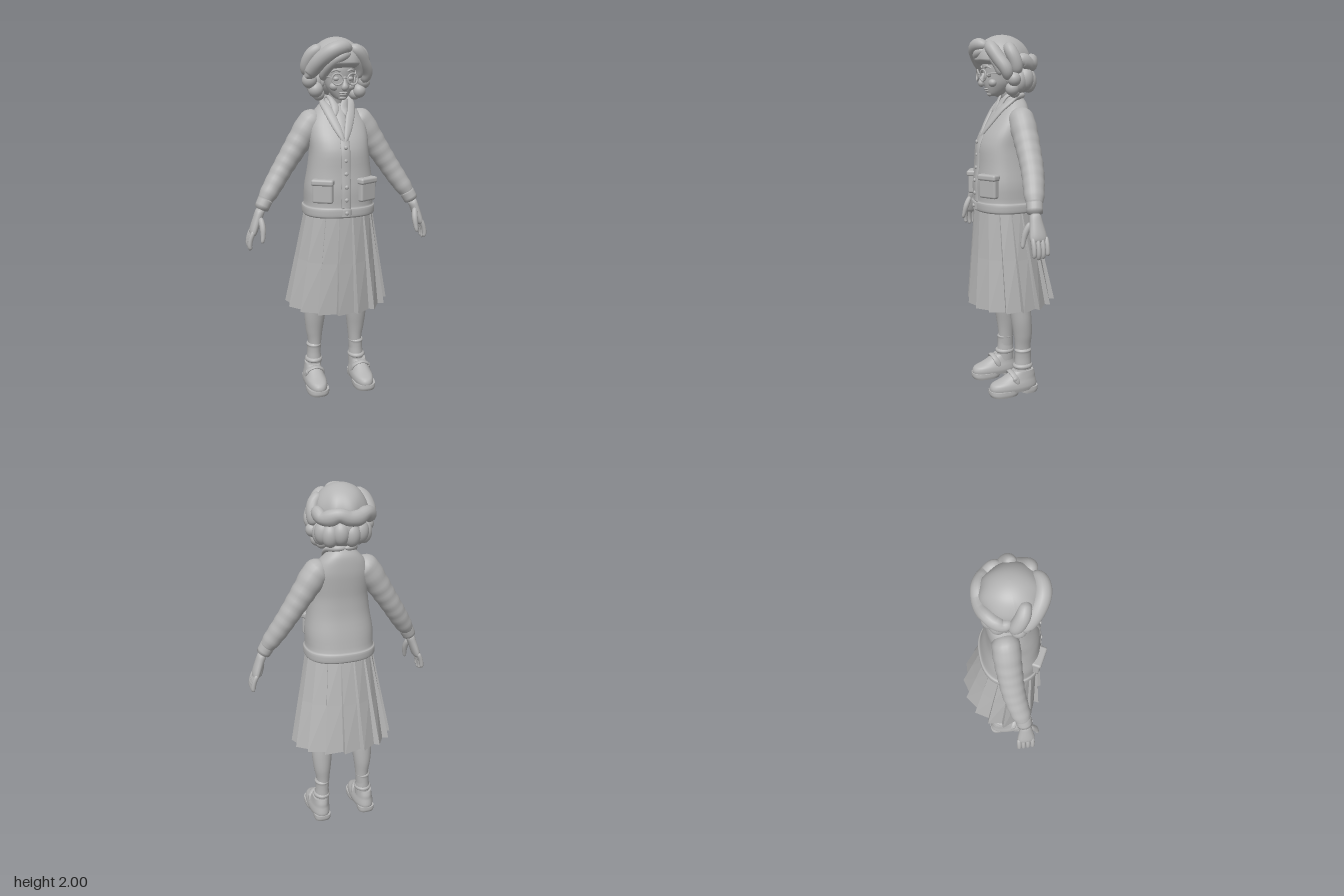
import * as THREE from 'three';
import { RoundedBoxGeometry } from 'three/addons/geometries/RoundedBoxGeometry.js';

const clay = new THREE.MeshStandardMaterial({ color: 0xb4b4b4 });
clay.name = 'clay grey';

// Skin a list of rings (arrays of Vector3) and close both ends
function loft(rings, flat = false) {
  const n = rings[0].length, pos = [], idx = [];
  const put = p => pos.push(p.x, p.y, p.z) / 3 - 1;
  rings.forEach(r => r.forEach(put));
  for (let i = 0; i < rings.length - 1; i++) for (let j = 0; j < n; j++) {
    const a = i * n + j, b = i * n + (j + 1) % n;
    idx.push(a, b, b + n, a, b + n, a + n);
  }
  [rings[0], rings[rings.length - 1]].forEach((r, end) => {
    const c = put(r.reduce((s, p) => s.add(p), new THREE.Vector3()).divideScalar(n));
    const first = r.map(put)[0];
    for (let j = 0; j < n; j++) {
      const a = first + j, b = first + (j + 1) % n;
      end ? idx.push(c, a, b) : idx.push(c, b, a);
    }
  });
  let g = new THREE.BufferGeometry();
  g.setAttribute('position', new THREE.Float32BufferAttribute(pos, 3));
  g.setIndex(idx);
  if (flat) g = g.toNonIndexed();
  g.computeVertexNormals();
  return g;
}

const pw = (v, p) => Math.sign(v) * Math.abs(v) ** (2 / p);

// Horizontal cross-sections: [y, half width, centre z, half depth]
function stack(rows, { x = 0, p = 2, n = 32, steps = 3 } = {}) {
  const a = new THREE.CatmullRomCurve3(rows.map(r => new THREE.Vector3(r[1], r[0], r[2])), false, 'catmullrom', 0.4);
  const b = new THREE.CatmullRomCurve3(rows.map(r => new THREE.Vector3(r[3], 0, 0)), false, 'catmullrom', 0.4);
  const m = (rows.length - 1) * steps;
  return loft(Array.from({ length: m + 1 }, (_, i) => {
    const c = a.getPoint(i / m), d = b.getPoint(i / m).x;
    return Array.from({ length: n }, (_, j) => {
      const t = j / n * Math.PI * 2;
      return new THREE.Vector3(x + pw(Math.sin(t), p) * c.x, c.y, c.z + pw(Math.cos(t), p) * d);
    });
  }));
}

// Tube through stations [x, y, z, radius across, radius along ref]
function limb(pts, { s = 1, round = true, ref = [0, 0, 1], n = 14, steps = 6, wrinkle = 0 } = {}) {
  const path = new THREE.CatmullRomCurve3(pts.map(p => new THREE.Vector3(p[0] * s, p[1], p[2])), false, 'catmullrom', 0.5);
  const size = new THREE.CatmullRomCurve3(pts.map(p => new THREE.Vector3(p[3], p[4] ?? p[3], 0)), false, 'catmullrom', 0.5);
  const m = (pts.length - 1) * steps;
  return loft(Array.from({ length: m + 1 }, (_, i) => {
    const k = i / m, c = path.getPoint(k), t = path.getTangent(k), r = size.getPoint(k);
    const v = new THREE.Vector3(...ref).addScaledVector(t, -t.dot(new THREE.Vector3(...ref))).normalize();
    const u = t.clone().cross(v);
    const f = (round ? Math.sqrt(Math.max(0.02, 1 - Math.abs(2 * k - 1) ** 8)) : 1) * (1 + wrinkle * Math.sin(k * 62));
    return Array.from({ length: n }, (_, j) => {
      const a = j / n * Math.PI * 2;
      return c.clone().addScaledVector(u, Math.sin(a) * r.x * f).addScaledVector(v, Math.cos(a) * r.y * f);
    });
  }));
}

export function createModel() {
  const model = new THREE.Group();
  const add = (name, geo, x = 0, y = 0, z = 0) => {
    const m = new THREE.Mesh(geo, clay);
    m.name = name;
    m.position.set(x, y, z);
    model.add(m);
    return m;
  };
  const blob = (name, x, y, z, rx, ry, rz) => add(name, new THREE.SphereGeometry(1, 24, 16).scale(rx, ry, rz), x, y, z);

  // Pleated skirt: sawtooth outline that flares to the hem
  const pleats = 16;
  const skirtRing = k => Array.from({ length: pleats * 2 }, (_, j) => {
    const out = j % 2 === 0, a = ((j >> 1) + (out ? 0.04 : 0.96) - 0.5) / pleats * Math.PI * 2;
    const f = out ? 1 + 0.03 * k : 0.97 - 0.06 * k;
    const hem = 0.522 - 0.017 * Math.cos(a);
    return new THREE.Vector3(Math.sin(a) * f * (0.19 + 0.098 * k), 1.08 + (hem - 1.08) * k,
      0.045 * (1 - k) + Math.cos(a) * f * (0.158 + 0.076 * k));
  });
  add('skirt', loft([1, 0.5, 0].map(skirtRing), true));

  // Cardigan body with ribbed hem
  const torso = [[1.05, .193, .04, .163], [1.06, .2, .04, .171], [1.098, .2, .04, .171], [1.11, .19, .042, .162],
    [1.2, .19, .05, .155], [1.3, .174, .055, .14], [1.4, .162, .055, .135], [1.47, .162, .04, .125],
    [1.54, .156, .015, .105], [1.6, .128, -.005, .082], [1.64, .092, -.015, .065], [1.675, .055, -.014, .046]];
  add('cardigan', stack(torso, { p: 2.4, n: 40 }));
  add('buttonBand', limb(torso.slice(1, 8).map(r => [0, r[0], r[2] + r[3], .026, .009]), { round: false }));
  for (let i = 0; i < 6; i++) {
    const y = 1.08 + i * 0.07;
    const r = torso.reduce((b, t) => Math.abs(t[0] - y) < Math.abs(b[0] - y) ? t : b);
    blob('button', 0, y, r[2] + r[3] + .009, .011, .011, .007);
  }
  add('shirtFront', limb([[0, 1.47, .16, .01, .008], [0, 1.55, .115, .025, .01], [0, 1.64, .055, .035, .01]]));

  // Neck and face
  add('neck', limb([[0, 1.61, -.015, .05], [0, 1.67, .005, .044], [0, 1.75, .03, .045]], { round: false }));
  add('face', stack([[1.675, .014, .1, .025], [1.685, .034, .088, .045], [1.71, .054, .073, .07], [1.745, .072, .063, .09],
    [1.79, .08, .058, .097], [1.84, .086, .05, .11], [1.9, .075, .045, .1]]));
  add('nose', limb([[0, 1.8, .148, .01], [0, 1.765, .165, .012], [0, 1.742, .173, .018, .014], [0, 1.732, .157, .014]]));
  blob('upperLip', 0, 1.713, .143, .024, .005, .008);
  blob('lowerLip', 0, 1.704, .138, .02, .006, .009);
  blob('chin', 0, 1.686, .121, .022, .013, .015);
  add('glassesBridge', limb([[-.014, 1.79, .18, .004], [0, 1.794, .184, .004], [.014, 1.79, .18, .004]], { n: 8 }));

  for (const s of [1, -1]) {
    // Facial features and round glasses
    blob('eye', s * .038, 1.786, .14, .016, .012, .013);
    blob('cheek', s * .043, 1.745, .122, .026, .022, .022);
    add('eyebrow', limb([[.016, 1.822, .157, .006], [.04, 1.832, .152, .006], [.066, 1.82, .135, .004]], { s, n: 8 }));
    blob('ear', s * .087, 1.77, .045, .012, .03, .02);
    const rim = add('glassesRim', new THREE.TorusGeometry(.029, .0045, 8, 28), s * .041, 1.785, .176);
    rim.rotation.y = s * .2;
    add('glassesArm', limb([[.068, 1.793, .168, .004], [.088, 1.795, .11, .004], [.092, 1.79, .04, .004]], { s, n: 8, ref: [0, 1, 0] }));

    // Collars, wrapping to the nape
    add('cardiganLapel', limb([[.004, 1.455, .178, .012, .009], [.032, 1.53, .134, .022, .01], [.062, 1.61, .074, .025, .011],
      [.078, 1.658, .01, .019, .012], [.05, 1.677, -.05, .015, .013], [0, 1.68, -.066, .015, .013]], { s }));
    add('shirtCollar', limb([[.03, 1.585, .099, .006, .007], [.023, 1.625, .073, .021, .008], [.04, 1.672, .04, .014, .008],
      [.05, 1.69, -.005, .01, .01]], { s }));

    // Patch pocket with flap
    const pocket = new THREE.Group();
    pocket.name = 'pocket';
    pocket.position.set(s * .122, 1.197, .177);
    pocket.rotation.y = s * .5;
    [[.112, .125, .04, 0, 0], [.122, .034, .054, .05, .002]].forEach(([w, h, d, y, z], i) => {
      const m = new THREE.Mesh(new RoundedBoxGeometry(w, h, d, 3, .012), clay);
      m.name = i ? 'pocketFlap' : 'pocketBag';
      m.position.set(0, y, z);
      pocket.add(m);
    });
    model.add(pocket);

    // Sleeve and cuff
    add('sleeve', limb([[.085, 1.585, -.008, .055, .06], [.135, 1.55, -.005, .076, .073], [.2, 1.46, -.004, .068, .07],
      [.25, 1.385, 0, .062, .066], [.3, 1.31, .006, .057, .062], [.345, 1.24, .018, .054, .058], [.395, 1.165, .036, .049, .053],
      [.425, 1.12, .046, .044, .046]], { s, n: 20, wrinkle: .022 }));
    add('cuff', limb([[.408, 1.145, .042, .042, .044], [.44, 1.085, .052, .039, .042]], { s, n: 20 }));

    // Hand: palm, four fingers, thumb
    add('palm', limb([[.435, 1.1, .052, .028, .03], [.455, 1.05, .053, .025, .037], [.478, .985, .052, .023, .048], [.487, .95, .052, .017, .046]], { s }));
    [[.012, .895], [.036, .872], [.061, .868], [.086, .88]].forEach(([z, y]) =>
      add('finger', limb([[.481, .985, z, .014, .013], [.5, .94, z, .013, .013], [.507, .9, z, .012], [.501, y, z, .01]], { s, n: 10 })));
    add('thumb', limb([[.445, 1.055, .078, .016], [.438, 1.0, .105, .017], [.44, .955, .118, .013], [.446, .92, .125, .01]], { s, n: 10 }));

    // Leg and rolled sock
    add('leg', limb([[.115, .62, .005, .066, .07], [.122, .5, -.006, .061, .061], [.125, .42, -.015, .059, .058], [.126, .34, -.023, .05, .053],
      [.124, .25, -.024, .038, .045], [.13, .1, -.024, .036, .045]], { s, n: 20, round: false }));
    add('sock', stack([[.1, .042, -.022, .052], [.155, .043, -.022, .05], [.2, .039, -.023, .047], [.235, .04, -.023, .047],
      [.247, .044, -.023, .05], [.257, .036, -.023, .043]], { x: s * .129, n: 20 }));
    add('sockRoll', new THREE.TorusGeometry(.037, .014, 10, 24).rotateX(Math.PI / 2).scale(1, 1, 1.15), s * .131, .155, -.02);

    // Strapped shoe with split sole
    const x = s * .14;
    add('shoeUpper', stack([[.022, .057, .043, .137], [.045, .062, .042, .142], [.068, .059, .038, .134], [.088, .052, .016, .107],
      [.11, .047, -.004, .085], [.135, .043, -.018, .062]], { x, p: 2.3 }));
    add('shoeSole', stack([[0, .06, .1, .08], [.015, .064, .1, .087], [.034, .063, .1, .086]], { x, p: 2.6 }));
    add('shoeHeel', stack([[0, .047, -.05, .046], [.015, .05, -.053, .05], [.036, .05, -.053, .05]], { x, p: 2.8 }));
    add('shoeStrap', limb([[s * x - .056, .068, .03, .008, .017], [s * x - .042, .112, .05, .008, .017], [s * x, .132, .06, .008, .017],
      [s * x + .042, .112, .05, .008, .017], [s * x + .056, .068, .03, .008, .017]], { s }));
    blob('shoeBuckle', x + s * .048, .1, .049, .01, .014, .015);
  }

  // Hair crown: wavy dome flattened underneath
  const dome = new THREE.SphereGeometry(1, 48, 32), p = dome.attributes.position;
  for (let i = 0; i < p.count; i++) {
    const [px, py, pz] = [p.getX(i), p.getY(i), p.getZ(i)];
    const w = 1 + .025 * Math.sin(px * 9 + pz * 4) * (1 - py * py);
    p.setXYZ(i, px * .142 * w, py * (py < 0 ? .04 : .14), pz * .153 * w);
  }
  dome.computeVertexNormals();
  add('hairCrown', dome, -.012, 1.86, .042).rotation.x = -.08;
  blob('hairBack', 0, 1.785, -.03, .122, .1, .092);

  // Rolled band of hair around the back
  add('hairRoll', limb(Array.from({ length: 11 }, (_, i) => {
    const a = -.2 + i / 10 * (Math.PI + .4);
    return [-.01 + Math.cos(a) * .145, 1.852 + .012 * Math.sin(i * 2), .0 - Math.sin(a) * .112, .036, .04 + .004 * Math.sin(i * 2.5)];
  }), { ref: [0, 1, 0] }));

  // Lower curls around the nape
  for (let i = 0; i < 8; i++) {
    const a = -.25 + i / 7 * (Math.PI + .5);
    blob('napeCurl', Math.cos(a) * .115, 1.755 + .012 * (i % 2), -.02 - Math.sin(a) * .072, .046, .063, .045);
  }

  // Swept fringe and side curls
  const locks = [
    [[.04, 1.935, .145, .025], [-.01, 1.945, .175, .036], [-.07, 1.925, .172, .042], [-.125, 1.875, .135, .042], [-.165, 1.815, .09, .034], [-.19, 1.79, .09, .015]],
    [[.035, 1.915, .16, .018], [-.02, 1.9, .178, .027], [-.07, 1.865, .155, .028], [-.098, 1.815, .115, .026], [-.095, 1.775, .1, .016]],
    [[.03, 1.945, .14, .025], [.075, 1.925, .14, .036], [.115, 1.87, .115, .036], [.145, 1.815, .085, .034], [.135, 1.76, .07, .026]],
    [[.04, 1.915, .15, .016], [.075, 1.88, .14, .02], [.096, 1.83, .115, .02], [.1, 1.785, .1, .016]],
    [[-.1, 1.95, .09, .03], [-.15, 1.91, .07, .036], [-.17, 1.85, .04, .037], [-.16, 1.8, .02, .03]],
    [[.09, 1.945, .06, .03], [.13, 1.905, .05, .035], [.145, 1.85, .03, .035], [.14, 1.79, .02, .03]]];
  locks.forEach((l, i) => add(i < 2 ? 'fringe' : 'sideLock', limb(l, { n: 18 })));
  [[-.16, 1.775, .05, .04], [-.125, 1.725, .045, .04], [-.105, 1.7, .03, .032], [.145, 1.765, .04, .036],
    [.12, 1.715, .04, .036], [.1, 1.7, .02, .032]].forEach(([x, y, z, r]) => blob('sideCurl', x, y, z, r, r * 1.05, r));

  return model;
}
